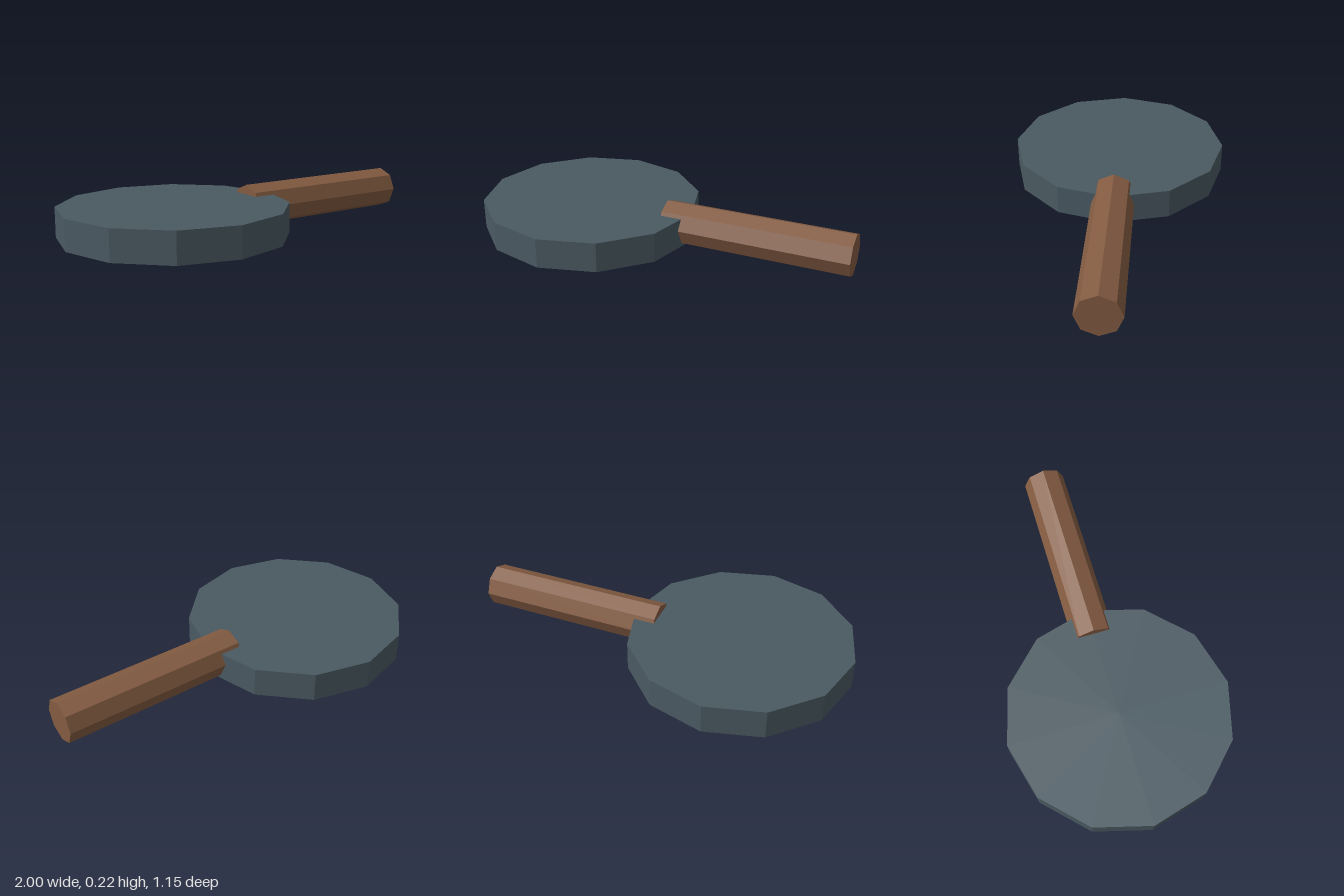
import * as THREE from 'three';

export function createModel() {
  const iron = new THREE.MeshStandardMaterial({ name: 'slate iron', color: 0x4a5a62, flatShading: true });
  const wood = new THREE.MeshStandardMaterial({ name: 'brown wood', color: 0x835b41, flatShading: true });

  const model = new THREE.Group();
  model.name = 'pan';

  // Solid twelve-sided disc, corners on the x and z axes
  const disc = new THREE.Mesh(new THREE.CylinderGeometry(0.577, 0.577, 0.155, 12), iron);
  disc.name = 'panDisc';
  disc.position.set(-0.423, 0.091, 0);

  // Octagonal handle lying along x, its inner end sunk into the disc
  const handle = new THREE.Mesh(new THREE.CylinderGeometry(0.11, 0.11, 0.98, 8), wood);
  handle.name = 'handle';
  handle.rotation.z = -Math.PI / 2;
  handle.position.set(0.51, 0.11, 0);

  model.add(disc, handle);
  return model;
}
